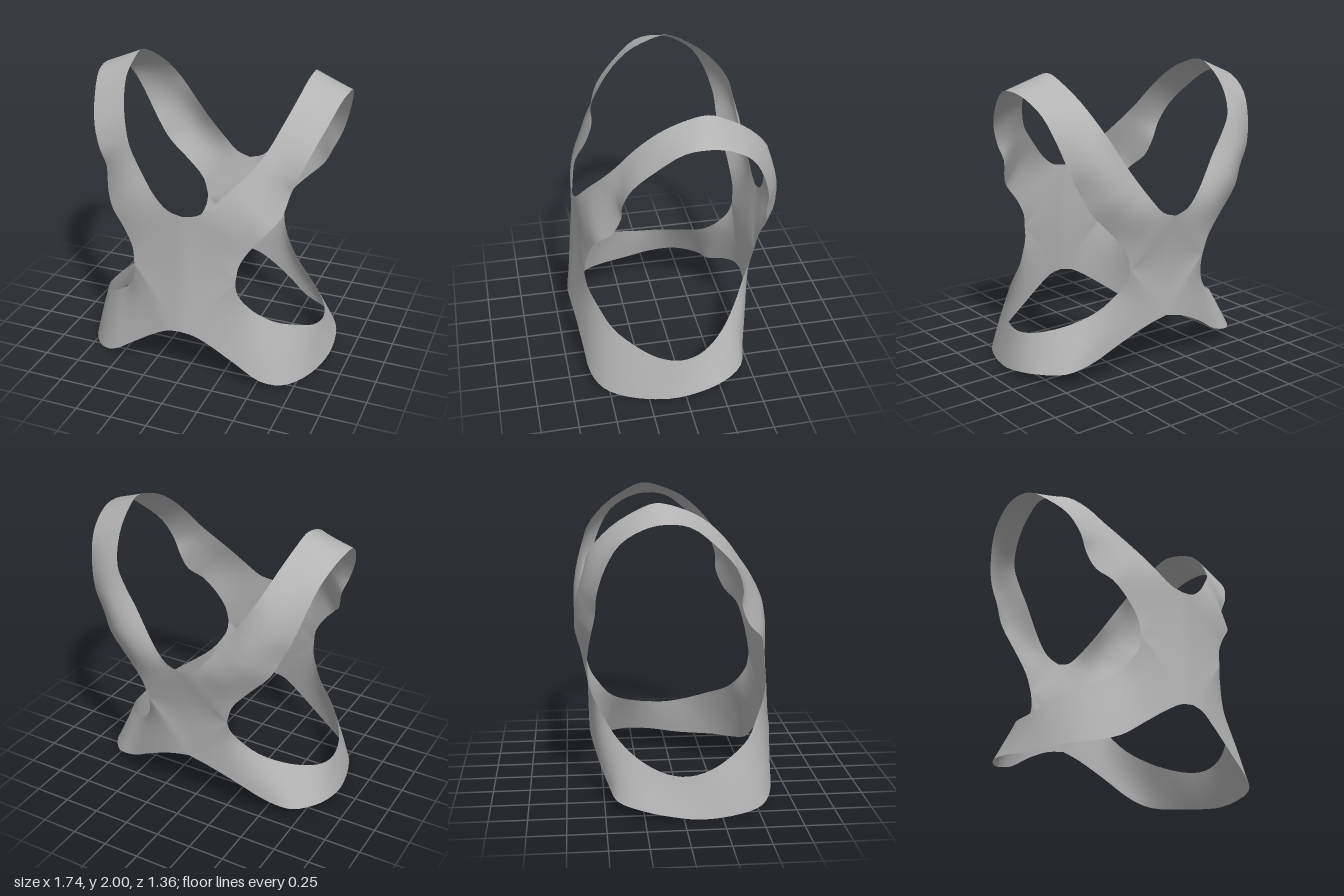
import * as THREE from 'three';
import { mergeGeometries, mergeVertices } from 'three/addons/utils/BufferGeometryUtils.js';

// Matching stations from front to back: [inner edge xyz], [outer edge xyz], forward bulge
const shoulder = [
  [[0, 1.19, .62], [.36, .77, .6], 0],
  [[.1, 1.21, .612], [.375, .88, .585], .005],
  [[.2, 1.285, .59], [.44, 1.0, .565], .015],
  [[.3, 1.39, .54], [.54, 1.12, .53], .02],
  [[.365, 1.46, .5], [.61, 1.21, .445], .025],
  [[.435, 1.54, .45], [.645, 1.35, .385], .015],
  [[.49, 1.63, .385], [.69, 1.46, .385], 0],
  [[.55, 1.77, .28], [.75, 1.61, .33], 0],
  [[.597, 1.9, .135], [.815, 1.77, .18], 0],
  [[.613, 1.975, -.03], [.855, 1.88, .03], 0],
  [[.62, 2.0, -.16], [.867, 1.9, -.12], 0],
  [[.61, 1.96, -.27], [.855, 1.87, -.25], 0],
  [[.575, 1.85, -.44], [.825, 1.78, -.39], 0],
  [[.51, 1.69, -.575], [.785, 1.63, -.48], -.02],
  [[.43, 1.56, -.605], [.73, 1.45, -.535], -.05],
  [[.355, 1.45, -.615], [.665, 1.31, -.545], -.075],
  [[.28, 1.34, -.635], [.6, 1.18, -.57], -.07],
  [[.19, 1.22, -.66], [.46, 1.03, -.59], -.045],
  [[.1, 1.125, -.668], [.345, .89, -.6], -.01],
  [[0, 1.09, -.668], [.305, .76, -.59], 0],
];
const waist = [
  [[.36, .77, .6], [0, .365, .685], 0],
  [[.362, .71, .592], [.09, .35, .678], 0],
  [[.38, .65, .58], [.2, .29, .66], 0],
  [[.46, .53, .52], [.38, .165, .635], .01],
  [[.575, .44, .45], [.54, .055, .61], .015],
  [[.69, .37, .33], [.67, .01, .54], .015],
  [[.775, .305, .18], [.78, 0, .39], .01],
  [[.8, .275, .03], [.855, 0, .12], 0],
  [[.775, .285, -.1], [.865, .03, -.08], 0],
  [[.7, .32, -.22], [.82, .06, -.27], 0],
  [[.59, .375, -.33], [.7, .08, -.42], -.01],
  [[.46, .46, -.43], [.54, .125, -.47], -.015],
  [[.36, .58, -.51], [.34, .25, -.535], -.01],
  [[.313, .68, -.565], [.14, .35, -.578], 0],
  [[.305, .76, -.59], [0, .385, -.585], 0],
];

const ACROSS = 8;

// Grid surface from point(s, u); reversed corners for the mirrored half
function sheet(point, rows, mirror) {
  const pos = [], index = [], w = ACROSS + 1;
  for (let s = 0; s <= rows; s++) {
    for (let u = 0; u <= ACROSS; u++) {
      const p = point(s / rows, u / ACROSS);
      pos.push(mirror ? -p.x : p.x, p.y, p.z);
      if (s === rows || u === ACROSS) continue;
      const a = s * w + u, b = a + 1, c = b + w, d = a + w;
      if (mirror) index.push(a, c, b, a, d, c);
      else index.push(a, b, c, a, c, d);
    }
  }
  const g = new THREE.BufferGeometry();
  g.setAttribute('position', new THREE.Float32BufferAttribute(pos, 3));
  g.setIndex(index);
  return g;
}

// Strap surface between two smooth edge curves
function strap(stations) {
  const edge = (k) => new THREE.CatmullRomCurve3(
    stations.map((st) => new THREE.Vector3(...st[k])), false, 'centripetal');
  const inner = edge(0), outer = edge(1);
  return (s, u) => {
    const p = inner.getPoint(s).lerp(outer.getPoint(s), u);
    const f = s * (stations.length - 1);
    const i = Math.min(Math.floor(f), stations.length - 2);
    p.z += THREE.MathUtils.lerp(stations[i][2], stations[i + 1][2], f - i) * Math.sin(Math.PI * u);
    return p;
  };
}

// Centre panel between two strap ends, curved inwards along the middle
function panel(from, to, dip) {
  return (s, u) => {
    const p = from(u).lerp(to(u), s);
    p.z += dip * Math.sin(Math.PI * s) * (1 - u);
    return p;
  };
}

export function createModel() {
  const group = new THREE.Group();
  group.name = 'harness';
  const fabric = new THREE.MeshStandardMaterial({ color: 0xb4b4b4, side: THREE.DoubleSide });
  fabric.name = 'grey fabric';

  const over = strap(shoulder), around = strap(waist);
  const frontPanel = panel((u) => around(0, 1 - u), (u) => over(0, u), -.012);
  const backPanel = panel((u) => over(1, u), (u) => around(1, 1 - u), .035);

  const parts = [];
  for (const mirror of [false, true]) {
    parts.push(
      sheet(over, 57, mirror),
      sheet(around, 42, mirror),
      sheet(frontPanel, 8, mirror),
      sheet(backPanel, 8, mirror),
    );
  }
  // Weld the parts so the cloth shades as one smooth sheet
  const cloth = mergeVertices(mergeGeometries(parts), 1e-4);
  cloth.computeVertexNormals();
  const mesh = new THREE.Mesh(cloth, fabric);
  mesh.name = 'crossStrapHarness';
  group.add(mesh);
  return group;
}
